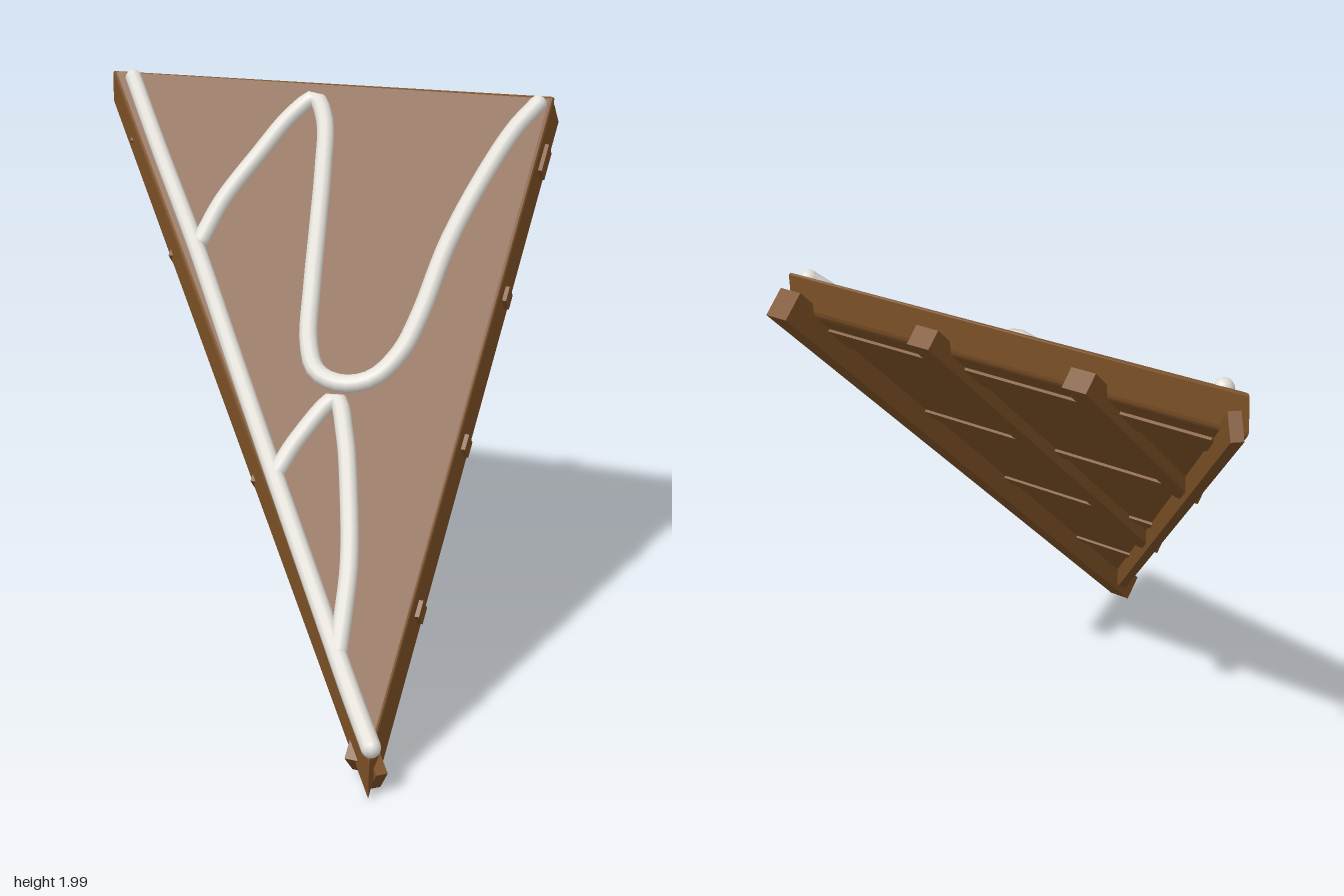
import * as THREE from 'three';

const S = Math.SQRT1_2;

export function createModel() {
  const model = new THREE.Group();
  model.name = 'roofCorner';
  const wood = new THREE.MeshStandardMaterial({ color: 0x7b5026 });
  wood.name = 'brown wood';
  const white = new THREE.MeshStandardMaterial({ color: 0xe2dfd8 });
  white.name = 'off white';

  const add = (name, geometry, material, parent = model) => {
    const mesh = new THREE.Mesh(geometry, material);
    mesh.name = name;
    parent.add(mesh);
    return mesh;
  };

  // Sloped panel: a bevelled triangle in plan, sheared so it climbs toward the back
  const plan = new THREE.Shape();
  plan.moveTo(-0.93, 0.875);
  plan.lineTo(0.92, -0.975);
  plan.lineTo(0.92, 0.875);
  plan.closePath();
  const bevel = 0.015;
  const slab = new THREE.ExtrudeGeometry(plan, {
    depth: 0.14 - 2 * bevel, bevelEnabled: true, bevelThickness: bevel,
    bevelSize: bevel, bevelOffset: -bevel, bevelSegments: 2,
  });
  slab.translate(0, 0, bevel);
  slab.rotateX(-Math.PI / 2);
  const p = slab.attributes.position;
  for (let i = 0; i < p.count; i++) p.setY(i, p.getY(i) + 0.975 - p.getZ(i));
  slab.computeVertexNormals();
  add('roofPanel', slab, wood);

  // Timber frame in slope coordinates: x across, y up the slope, z out of the roof
  const frame = new THREE.Group();
  frame.name = 'timberFrame';
  frame.rotation.x = -Math.PI / 4;
  model.add(frame);
  const timber = (name, x0, x1, v0, v1, n0, n1) => {
    const g = new THREE.BoxGeometry(x1 - x0, v1 - v0, n1 - n0);
    g.translate((x0 + x1) / 2, (v0 + v1) / 2, (n0 + n1) / 2);
    return add(name, g, wood, frame);
  };

  // Rafters, from the hip up past the back edge: centre x, underside height
  for (const [x, n] of [[-0.375, 0.65], [0.25, 0.65], [0.862, 0.615]]) {
    timber('rafter', x - 0.046, x + 0.046, n - (x - 0.02) / S, 2.03, n, 0.72);
  }

  // Purlins, whose ends poke out of the right edge: slope position, width
  for (const [v, w] of [[-0.042, 0.06], [0.58, 0.06], [1.18, 0.06], [1.775, 0.12]]) {
    const hipX = (0.7 - v) * S;
    timber('purlin', hipX, 0.935, v - w / 2, v + w / 2, 0.68, 0.738);
  }

  // Hip beam, with upright sides, along the diagonal edge
  const side = new THREE.Vector3(1, 0, -1).normalize();
  const up = new THREE.Vector3(1, 2, 1).normalize();
  const along = side.clone().cross(up);
  const hip = add('hipBeam', new THREE.BoxGeometry(0.04, 0.09, 1.87 * Math.sqrt(3)), wood);
  hip.quaternion.setFromRotationMatrix(new THREE.Matrix4().makeBasis(side, up, along));
  hip.position.set(-0.005, 0.98, -0.022);

  // Raised trim laid on the panel; each point is x and height
  const trim = (name, points, radius) => {
    const path = points.map(([x, y]) => new THREE.Vector3(x, y, 1.122 - y));
    const curve = new THREE.CatmullRomCurve3(path, false, 'centripetal');
    const group = new THREE.Group();
    group.name = name;
    model.add(group);
    add('strand', new THREE.TubeGeometry(curve, points.length * 5, radius, 10), white, group);
    for (const end of [path[0], path[path.length - 1]]) {
      add('strandEnd', new THREE.SphereGeometry(radius, 10, 8), white, group).position.copy(end);
    }
  };
  trim('diagonalTrim', [[-0.82, 1.965], [-0.6, 1.74], [-0.27, 1.41], [0, 1.125],
    [0.3, 0.81], [0.67, 0.425], [0.8, 0.29], [0.915, 0.175]], 0.033);
  trim('waveTrim', [[-0.27, 1.44], [-0.24, 1.57], [-0.16, 1.73], [-0.08, 1.87],
    [-0.01, 1.93], [0.06, 1.86], [0.12, 1.7], [0.18, 1.5], [0.23, 1.33], [0.285, 1.17],
    [0.35, 1.09], [0.46, 1.065], [0.56, 1.09], [0.63, 1.17], [0.66, 1.28], [0.685, 1.5],
    [0.74, 1.7], [0.81, 1.87], [0.87, 1.955]], 0.034);
  trim('archTrim', [[0.32, 0.8], [0.36, 0.9], [0.45, 1.02], [0.52, 0.93],
    [0.6, 0.77], [0.67, 0.6], [0.7, 0.48], [0.72, 0.38]], 0.032);

  return model;
}
